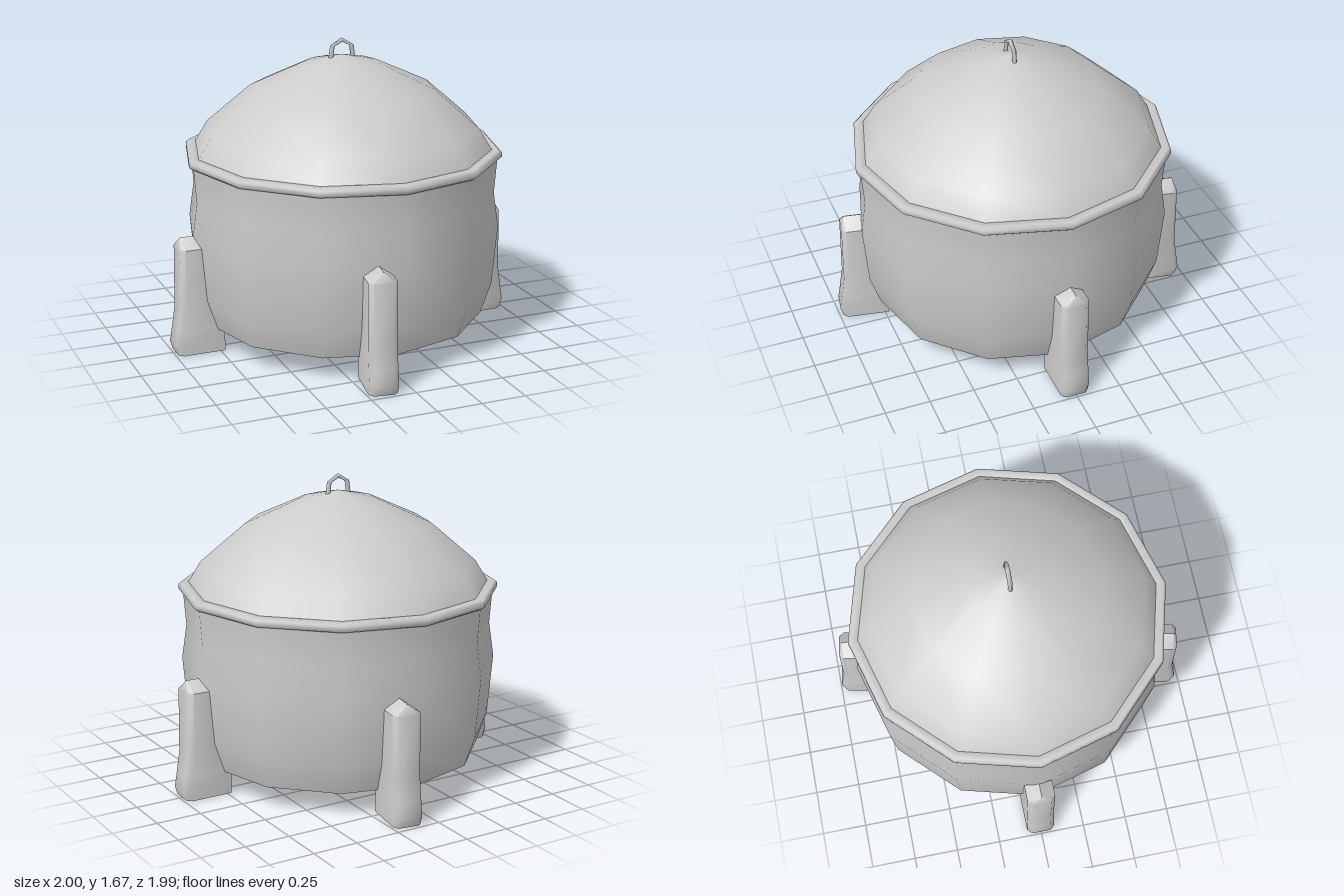
import * as THREE from 'three';
import { toCreasedNormals } from 'three/addons/utils/BufferGeometryUtils.js';

const SIDES = 12;
const grey = new THREE.MeshStandardMaterial({ color: 0xcccccc });

function addMesh(parent, name, geometry) {
  const mesh = new THREE.Mesh(geometry, grey);
  mesh.name = name;
  parent.add(mesh);
  return mesh;
}

// Smooth twelve-sided surface of revolution from [radius, y] pairs
function turned(profile) {
  return new THREE.LatheGeometry(profile.map(([r, y]) => new THREE.Vector2(r, y)), SIDES);
}

// Leg reaching out along +x: stacked chamfered sections [y, inner, outer, halfWidth]
function legGeometry() {
  const sections = [
    [0, 0.725, 0.985, 0.078],
    [0.05, 0.725, 1, 0.078],
    [0.14, 0.725, 0.985, 0.078],
    [0.25, 0.79, 0.968, 0.078],
    [0.6, 0.8, 0.962, 0.078],
    [0.655, 0.8, 0.943, 0], // ridge
  ];
  const positions = [];
  const index = [];
  const n = 6;
  for (const [y, ri, ro, w] of sections) {
    const cut = w > 0 ? 0.025 : 0;
    const outline = [[ri, w], [ro - cut, w], [ro, w * 0.7], [ro, -w * 0.7], [ro - cut, -w], [ri, -w]];
    for (const [x, z] of outline) positions.push(x, y, z);
  }
  for (let i = 0; i < sections.length - 1; i++) {
    for (let j = 0; j < n; j++) {
      const a = i * n + j;
      const b = i * n + ((j + 1) % n);
      index.push(a, b, b + n, a, b + n, a + n);
    }
  }
  // Sole
  for (let j = 1; j < n - 1; j++) index.push(0, j + 1, j);
  const geometry = new THREE.BufferGeometry();
  geometry.setAttribute('position', new THREE.Float32BufferAttribute(positions, 3));
  geometry.setIndex(index);
  return toCreasedNormals(geometry, 0.95);
}

export function createModel() {
  const model = new THREE.Group();
  model.name = 'pot';

  // Bulging body with a flat base
  addMesh(model, 'body', turned([[0.785, 0.13], [0.842, 0.3], [0.87, 0.64], [0.842, 0.83], [0.857, 1.04]]));
  const base = addMesh(model, 'base', new THREE.CircleGeometry(0.785, SIDES).rotateX(Math.PI / 2));
  base.position.y = 0.13;

  // Rounded rim
  addMesh(model, 'rim', turned([
    [0.8, 1.025], [0.865, 1.025], [0.88, 1.037], [0.88, 1.062], [0.865, 1.075], [0.8, 1.075], [0.8, 1.025],
  ]));

  // Domed lid
  addMesh(model, 'lid', turned([[0.84, 1.05], [0.825, 1.075], [0.755, 1.19], [0.51, 1.4], [0.205, 1.54], [0, 1.585]]));

  // Angular loop handle
  const loop = [[-0.065, 1.565], [-0.055, 1.637], [0, 1.663], [0.055, 1.637], [0.065, 1.565]];
  const path = new THREE.CatmullRomCurve3(loop.map(([x, y]) => new THREE.Vector3(x, y, 0)), false, 'catmullrom', 0);
  addMesh(model, 'handle', new THREE.TubeGeometry(path, 4, 0.0125, 6));

  // Four legs; the front and back pair sit slightly turned
  const leg = legGeometry();
  const skew = 0.169;
  const angles = { leftLeg: 0, rightLeg: Math.PI, frontLeg: -Math.PI / 2 - skew, backLeg: Math.PI / 2 - skew };
  for (const [name, angle] of Object.entries(angles)) addMesh(model, name, leg).rotation.y = angle;

  return model;
}
